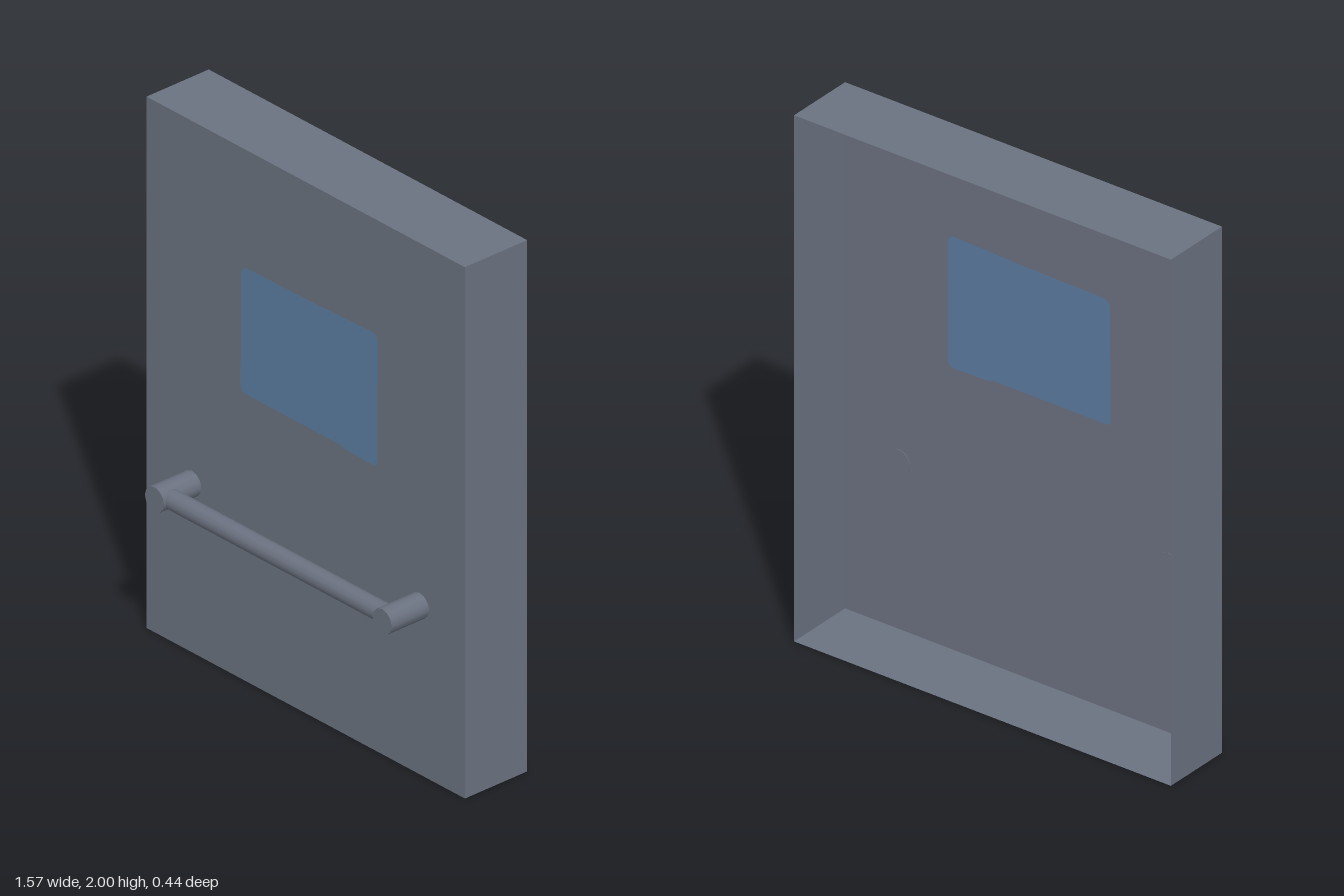
import * as THREE from 'three';

export function createModel() {
  const model = new THREE.Group();
  const grey = new THREE.MeshStandardMaterial({ color: 0x6b7280, side: THREE.DoubleSide });
  grey.name = 'slate grey';
  const blue = new THREE.MeshStandardMaterial({ color: 0x5b7ca0, side: THREE.DoubleSide });
  blue.name = 'window blue';

  const W = 0.783, H = 2, FRONT = 0.055, BACK = -0.221;
  const depth = FRONT - BACK, midZ = (FRONT + BACK) / 2;

  const add = (name, geometry, material, x, y, z) => {
    const mesh = new THREE.Mesh(geometry, material);
    mesh.name = name;
    mesh.position.set(x, y, z);
    model.add(mesh);
    return mesh;
  };

  // Slightly uneven window outline with rounded corners
  const outline = (path) => {
    path.moveTo(-0.32, 1.1);
    path.lineTo(-0.318, 1.525);
    path.quadraticCurveTo(-0.316, 1.553, -0.285, 1.556);
    path.lineTo(0, 1.56);
    path.lineTo(0.335, 1.57);
    path.quadraticCurveTo(0.355, 1.567, 0.355, 1.54);
    path.lineTo(0.353, 1.09);
    path.quadraticCurveTo(0.35, 1.07, 0.325, 1.07);
    path.lineTo(0.18, 1.073);
    path.lineTo(0.17, 1.08);
    path.lineTo(-0.295, 1.08);
    path.quadraticCurveTo(-0.32, 1.078, -0.32, 1.1);
    return path;
  };

  // Front sheet with the window set flush into it
  const sheet = new THREE.Shape([
    new THREE.Vector2(-W, 0), new THREE.Vector2(W, 0),
    new THREE.Vector2(W, H), new THREE.Vector2(-W, H),
  ]);
  sheet.holes.push(outline(new THREE.Path()));
  add('frontPanel', new THREE.ShapeGeometry(sheet, 6), grey, 0, 0, FRONT);
  add('window', new THREE.ShapeGeometry(outline(new THREE.Shape()), 6), blue, 0, 0, FRONT);

  // Thin rim walls, open at the back
  for (const s of [-1, 1]) {
    const side = add(s > 0 ? 'leftWall' : 'rightWall', new THREE.PlaneGeometry(depth, H), grey, s * W, H / 2, midZ);
    side.rotation.y = s * Math.PI / 2;
    const end = add(s > 0 ? 'topWall' : 'bottomWall', new THREE.PlaneGeometry(2 * W, depth), grey, 0, s > 0 ? H : 0, midZ);
    end.rotation.x = -s * Math.PI / 2;
  }

  // Handle posts, their ends just showing through the sheet
  const postBack = FRONT - 0.002, postFront = 0.221;
  for (const s of [-1, 1]) {
    const post = add(s > 0 ? 'leftHandlePost' : 'rightHandlePost',
      new THREE.CylinderGeometry(0.047, 0.047, postFront - postBack, 12), grey,
      s * 0.56, 0.636, (postFront + postBack) / 2);
    post.rotation.x = Math.PI / 2;
  }

  // Handle bar between the posts
  const bar = add('handleBar', new THREE.CylinderGeometry(0.036, 0.036, 1.06, 12), grey, 0, 0.636, 0.177);
  bar.rotation.z = Math.PI / 2;

  return model;
}
